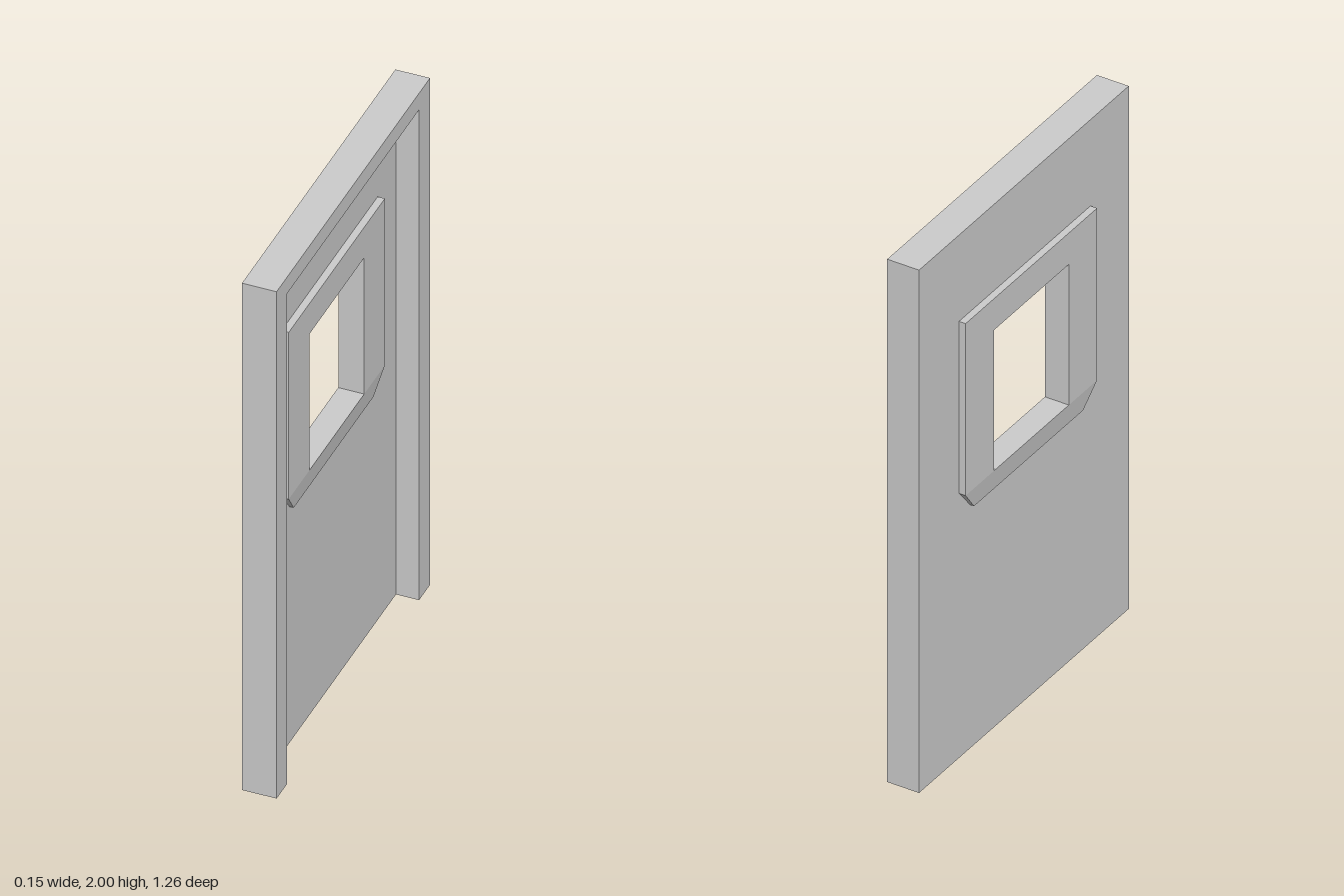
import * as THREE from 'three';

const material = new THREE.MeshStandardMaterial({ color: 0xcccccc, flatShading: true });

// Depths along x
const BACK = -0.05, LEAF = -0.01, FRONT = 0.07, PLATE = 0.025;
// Window opening and the line where the plates start to taper
const WIN = { z0: -0.22, z1: 0.23, y0: 1.012, y1: 1.55 };

// Outline of [z, y] points, extruded along x from x0 to x1
function slab(name, points, x0, x1, hole) {
  const toVec = ([z, y]) => new THREE.Vector2(-z, y);
  const shape = new THREE.Shape(points.map(toVec));
  if (hole) shape.holes.push(new THREE.Path(hole.map(toVec)));
  const geometry = new THREE.ExtrudeGeometry(shape, { depth: x1 - x0, bevelEnabled: false });
  geometry.rotateY(Math.PI / 2).translate(x0, 0, 0);
  const mesh = new THREE.Mesh(geometry, material);
  mesh.name = name;
  return mesh;
}

// Window surround on one face of the leaf; side is the direction it stands out
function windowPlate(name, faceX, side) {
  const group = new THREE.Group();
  group.name = name;
  const outer = faceX + side * PLATE;
  const x0 = Math.min(faceX, outer), x1 = Math.max(faceX, outer);
  const { z0, z1, y0, y1 } = WIN;

  group.add(slab('windowSurround', [
    [-0.39, y0], [-0.39, 1.67], [0.4, 1.67], [0.4, y0],
    [z1, y0], [z1, y1], [z0, y1], [z0, y0],
  ], x0, x1));

  // Apron with cut corners, thinning toward its lower edge
  const apron = slab('windowApron', [[-0.39, y0], [0.4, y0], [0.333, 0.93], [-0.322, 0.93]], x0, x1);
  const p = apron.geometry.attributes.position;
  for (let i = 0; i < p.count; i++) {
    if (p.getY(i) < 0.95 && Math.abs(p.getX(i) - outer) < 1e-4) p.setX(i, outer - side * 0.011);
  }
  apron.geometry.computeVertexNormals();
  group.add(apron);
  return group;
}

export function createModel() {
  const model = new THREE.Group();
  model.name = 'door';

  // Surrounding frame: two jambs and a lintel
  model.add(slab('frame', [
    [-0.63, 0], [-0.63, 2], [0.63, 2], [0.63, 0],
    [0.545, 0], [0.545, 1.935], [-0.54, 1.935], [-0.54, 0],
  ], BACK, FRONT));

  // Recessed leaf with the window opening
  const { z0, z1, y0, y1 } = WIN;
  model.add(slab('leaf',
    [[-0.54, 0], [0.545, 0], [0.545, 1.935], [-0.54, 1.935]], BACK, LEAF,
    [[z0, y0], [z0, y1], [z1, y1], [z1, y0]]));

  model.add(windowPlate('outerWindowPlate', BACK, -1));
  model.add(windowPlate('innerWindowPlate', LEAF, 1));

  // Wedge-shaped latch under the lintel
  const profile = new THREE.Shape([[LEAF, 1.86], [0.012, 1.86], [0.055, 1.935], [LEAF, 1.935]]
    .map(([x, y]) => new THREE.Vector2(x, y)));
  const latch = new THREE.Mesh(
    new THREE.ExtrudeGeometry(profile, { depth: 0.072, bevelEnabled: false }).translate(0, 0, -0.034), material);
  latch.name = 'latch';
  model.add(latch);

  return model;
}
